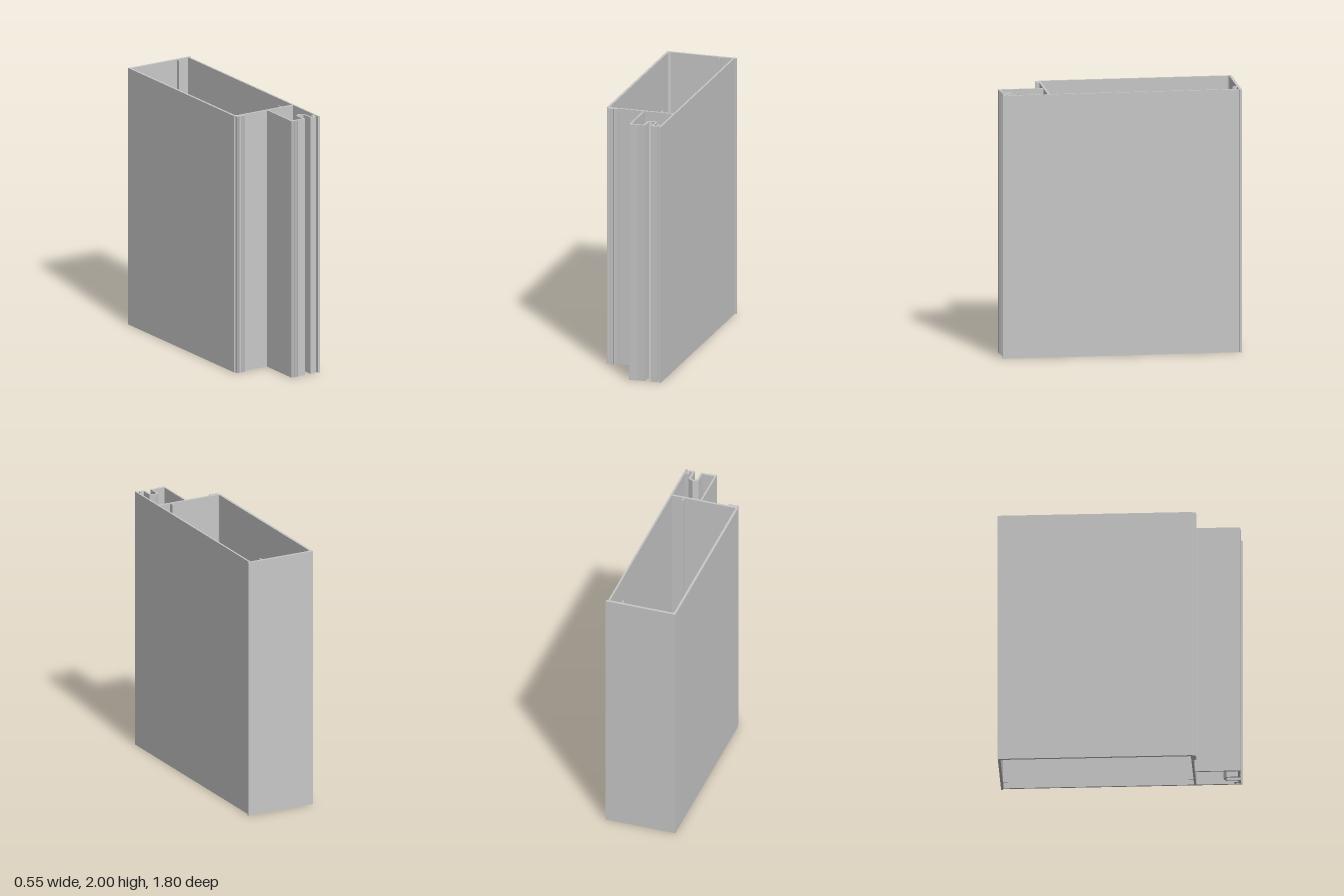
import * as THREE from 'three';

const HEIGHT = 2;
const aluminium = new THREE.MeshStandardMaterial({ color: 0xc8c8c8 });
aluminium.name = 'aluminium grey';

// Plan points are [x, z], listed clockwise as seen from above;
// reversing them gives the counter-clockwise outline an extrusion expects.
const toPoints = (plan) => plan.map(([x, z]) => new THREE.Vector2(x, -z)).reverse();

function extrusion(name, outline, holes = []) {
  const shape = new THREE.Shape(toPoints(outline));
  for (const hole of holes) shape.holes.push(new THREE.Path(toPoints(hole)));
  const geometry = new THREE.ExtrudeGeometry(shape, { depth: HEIGHT, bevelEnabled: false });
  geometry.rotateX(-Math.PI / 2);
  const mesh = new THREE.Mesh(geometry, aluminium);
  mesh.name = name;
  return mesh;
}

// Plan points of a quarter-round corner
function corner(cx, cz, r, startDegrees, steps = 5) {
  return Array.from({ length: steps + 1 }, (_, i) => {
    const a = THREE.MathUtils.degToRad(startDegrees + (90 * i) / steps);
    return [cx + r * Math.cos(a), cz + r * Math.sin(a)];
  });
}

// Row of small teeth along x, from right (x1) to left (x0), between two depths
function teeth(x0, x1, zLow, zHigh, count) {
  const points = [[x1, zLow]];
  const pitch = (x1 - x0) / count;
  for (let i = count - 1; i >= 0; i--) {
    const x = x0 + i * pitch;
    points.push([x + pitch * 0.75, zLow], [x + pitch * 0.55, zHigh], [x, zHigh]);
  }
  return points;
}

export function createModel() {
  const group = new THREE.Group();
  group.name = 'framingProfile';

  // Box tube with a back lip and a side wall running on to the front
  const tubeOutline = [
    [-0.274, -0.9], [0.274, -0.9], [0.274, -0.885], [0.26, -0.885],
    [0.26, 0.9], [0.246, 0.9], [0.246, 0.558], [-0.265, 0.558], [-0.274, 0.55],
  ];
  // Hollow with rounded left corners and two small locating fins
  const hollow = [
    ...corner(-0.236, -0.86, 0.02, 180),
    [0.145, -0.88], [0.145, -0.848], [0.156, -0.848], [0.156, -0.88],
    [0.246, -0.88], [0.246, 0.541],
    [0.156, 0.541], [0.156, 0.505], [0.145, 0.505], [0.145, 0.541],
    ...corner(-0.246, 0.531, 0.01, 90),
  ];
  group.add(extrusion('boxTube', tubeOutline, [hollow]));

  // Front channel: wall, ribbed face, peaked groove and stepped return
  group.add(extrusion('frontChannel', [
    [0.012, 0.558], [0.025, 0.558], [0.025, 0.876], [0.12, 0.876],
    [0.12, 0.788], [0.158, 0.766], [0.198, 0.788], [0.198, 0.876],
    [0.218, 0.876], [0.218, 0.842], [0.246, 0.842], [0.246, 0.856],
    [0.232, 0.856], [0.232, 0.892], [0.184, 0.892], [0.184, 0.797],
    [0.158, 0.782], [0.135, 0.797], [0.135, 0.892],
    ...teeth(0.012, 0.08, 0.89, 0.898, 5),
  ]));

  // Ribbed gasket strip on the front of the tube
  group.add(extrusion('gasketStrip', [
    [-0.265, 0.558], [-0.19, 0.558],
    ...teeth(-0.265, -0.19, 0.571, 0.58, 6),
  ]));

  return group;
}
